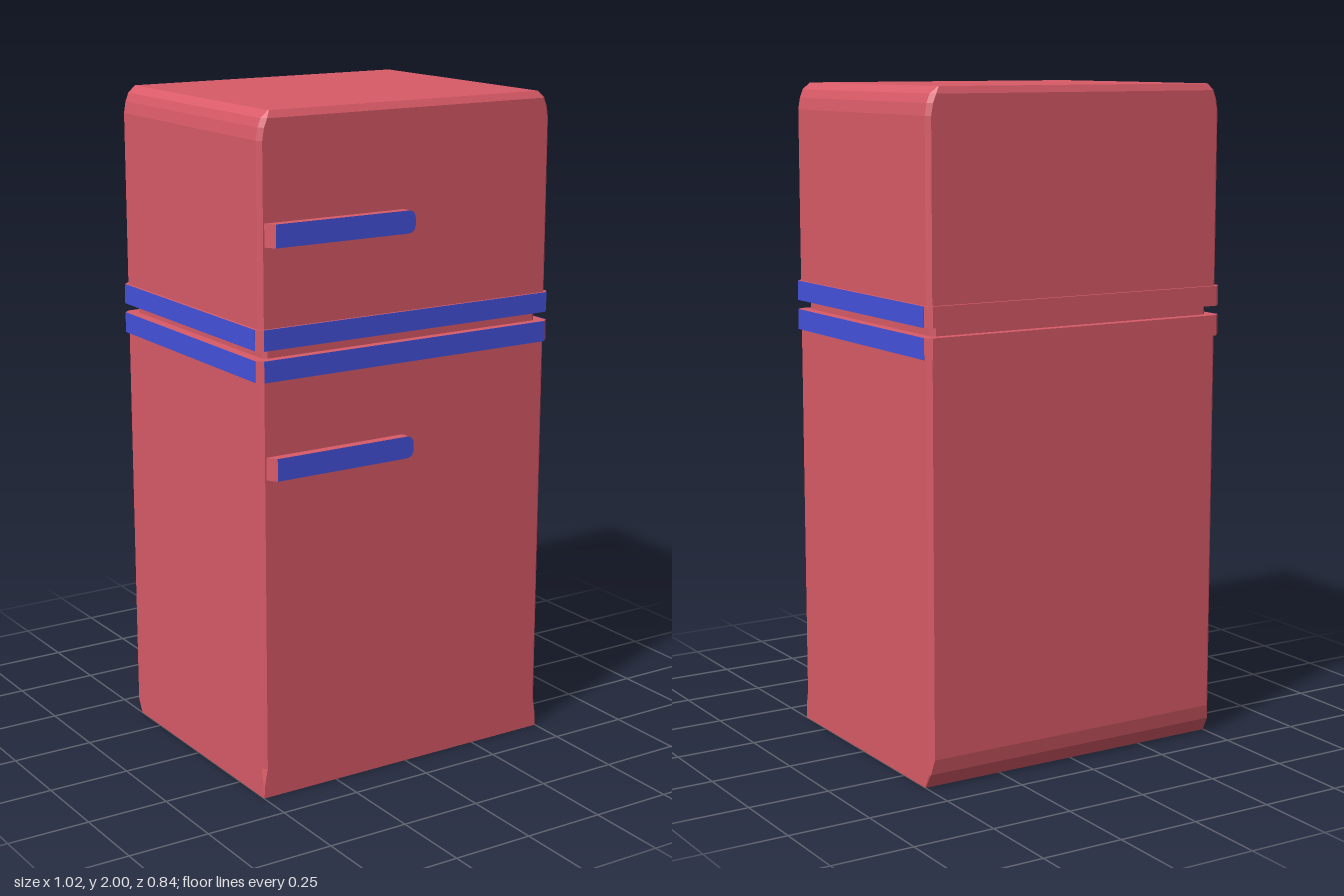
import * as THREE from 'three';

const red = new THREE.MeshStandardMaterial({ color: 0xd95b68, flatShading: true });
const blue = new THREE.MeshStandardMaterial({ color: 0x4452dc, flatShading: true });

// Rectangle with cut corners, listed counter-clockwise seen from above
function ring([y, hx, back, front, c]) {
  return [
    [-hx + c, front], [hx - c, front], [hx, front - c], [hx, back + c],
    [hx - c, back], [-hx + c, back], [-hx, back + c], [-hx, front - c],
  ].map(([x, z]) => [x, y, z]);
}

// Stack of rings [y, halfWidth, back, front, chamfer], bottom to top, with both ends closed
function loft(name, levels) {
  const rings = levels.map(ring);
  const pos = [];
  const tri = (a, b, c) => pos.push(...a, ...b, ...c);
  const n = 8;
  for (let j = 0; j < rings.length - 1; j++) {
    const lo = rings[j], hi = rings[j + 1];
    for (let i = 0; i < n; i++) {
      const k = (i + 1) % n;
      tri(lo[i], lo[k], hi[k]);
      tri(lo[i], hi[k], hi[i]);
    }
  }
  const bottom = rings[0], top = rings[rings.length - 1];
  for (let i = 1; i < n - 1; i++) {
    tri(bottom[0], bottom[i + 1], bottom[i]);
    tri(top[0], top[i], top[i + 1]);
  }
  const g = new THREE.BufferGeometry();
  g.setAttribute('position', new THREE.Float32BufferAttribute(pos, 3));
  g.computeVertexNormals();
  const mesh = new THREE.Mesh(g, red);
  mesh.name = name;
  return mesh;
}

// Trim band: red core with blue strips on the front and both sides
function trimBand(name, y0, y1) {
  const group = new THREE.Group();
  group.name = name;
  const hx = 0.509, back = -0.418, front = 0.396, c = 0.018, t = 0.002;
  group.add(loft('bandCore', [[y0, hx, back, front, c], [y1, hx, back, front, c]]));
  const strip = (label, w, d, x, z) => {
    const m = new THREE.Mesh(new THREE.BoxGeometry(w, y1 - y0, d), blue);
    m.position.set(x, (y0 + y1) / 2, z);
    m.name = label;
    group.add(m);
  };
  strip('frontStrip', 2 * (hx - c), t, 0, front);
  for (const s of [-1, 1]) {
    strip(s > 0 ? 'leftStrip' : 'rightStrip', t, front - back - 2 * c, s * hx, (front + back) / 2);
  }
  return group;
}

// Door handle: bar with a slanted outer end and a rounded inner end, blue on its face
function handle(name, y) {
  const h = 0.033, r = 0.026, x0 = -0.487;
  const s = new THREE.Shape();
  s.moveTo(x0, -h);
  s.lineTo(-r, -h);
  s.quadraticCurveTo(0, -h, 0, -h + r);
  s.lineTo(0, h - r);
  s.quadraticCurveTo(0, h, -r, h);
  s.lineTo(x0, h);
  s.closePath();
  const g = new THREE.ExtrudeGeometry(s, { depth: 0.035, bevelEnabled: false, curveSegments: 4 });
  const p = g.attributes.position;
  for (let i = 0; i < p.count; i++) {
    if (p.getX(i) < -0.4 && p.getZ(i) > 0.02) p.setX(i, x0 + 0.024);
  }
  g.computeVertexNormals();
  const m = new THREE.Mesh(g, [blue, red]);
  m.position.set(0, y, 0.383);
  m.name = name;
  return m;
}

export function createModel() {
  const model = new THREE.Group();
  model.name = 'refrigerator';
  const B = -0.408, F = 0.389, C = 0.013;

  // Lower cabinet, its back edge rounded under at the floor
  model.add(loft('lowerCabinet', [
    [0, 0.5, -0.375, F, 0.001],
    [0.045, 0.5, -0.4, F, 0.004],
    [0.09, 0.5, B, F, C],
    [1.25, 0.5, B, F, C],
  ]));

  // Upper cabinet with rounded shoulders
  model.add(loft('upperCabinet', [
    [1.4, 0.5, B, F, C],
    [1.92, 0.5, B, F, C],
    [1.955, 0.494, B, F, C],
    [1.98, 0.484, B, F, C],
    [2, 0.46, -0.4, 0.377, 0.002],
  ]));

  // Recessed gap between the two trim bands
  model.add(loft('doorGap', [[1.31, 0.477, -0.388, 0.37, C], [1.34, 0.477, -0.388, 0.37, C]]));
  model.add(trimBand('lowerTrimBand', 1.25, 1.312));
  model.add(trimBand('upperTrimBand', 1.34, 1.4));

  model.add(handle('upperHandle', 1.662));
  model.add(handle('lowerHandle', 1.0));
  return model;
}
